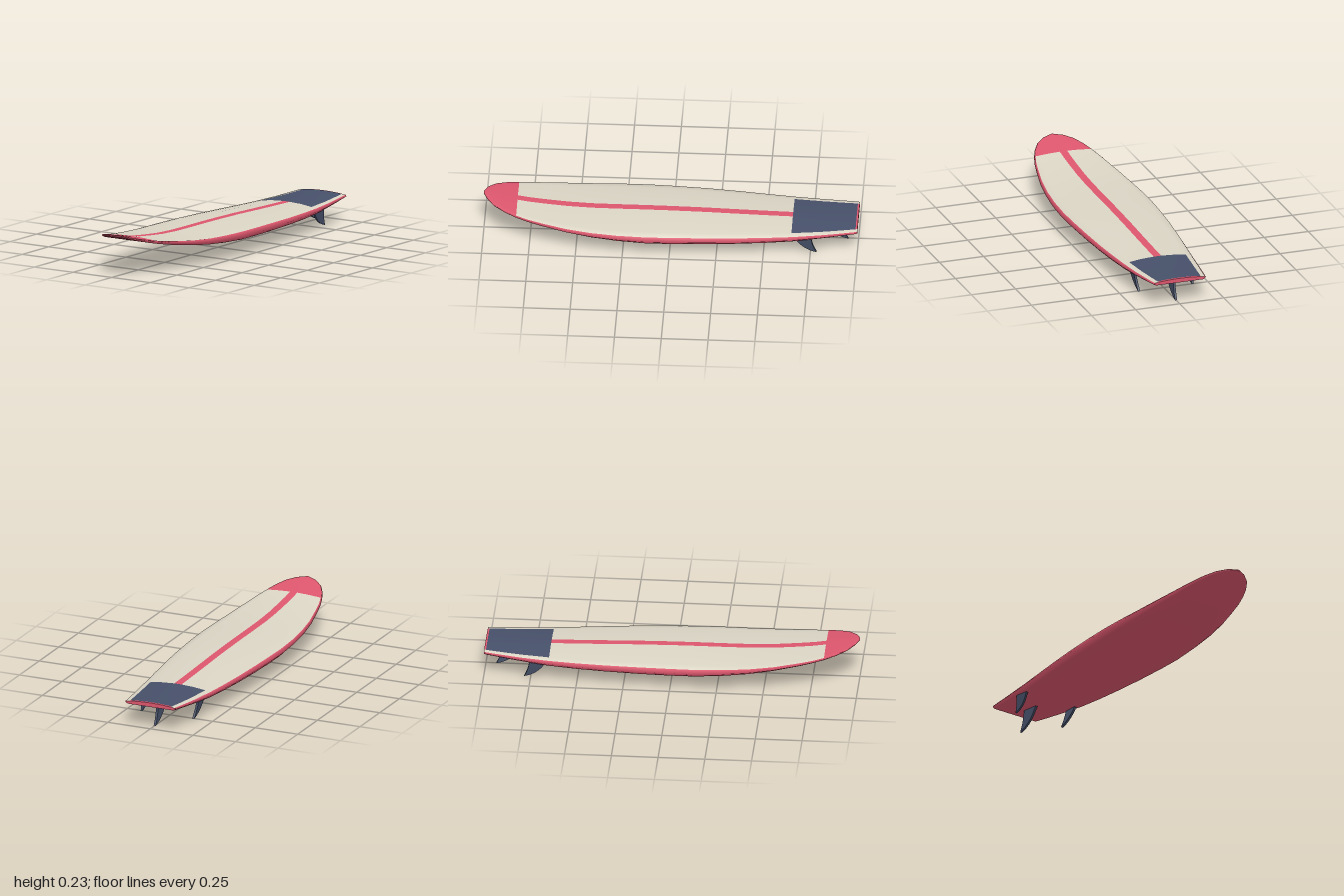
import * as THREE from 'three';

const mat = (name, color) => {
  const m = new THREE.MeshStandardMaterial({ color });
  m.name = name;
  return m;
};

// Hull stations from tail to nose: [z, half width, bottom y, deck y]
const STATIONS = [
  [-1, 0.146, 0.123, 0.146], [-0.99, 0.152, 0.122, 0.147], [-0.9, 0.166, 0.113, 0.144],
  [-0.8, 0.181, 0.104, 0.142], [-0.65, 0.201, 0.092, 0.143], [-0.5, 0.219, 0.088, 0.146],
  [-0.35, 0.235, 0.087, 0.15], [-0.18, 0.249, 0.087, 0.155], [0, 0.259, 0.088, 0.158],
  [0.13, 0.263, 0.09, 0.159], [0.28, 0.259, 0.098, 0.159], [0.42, 0.247, 0.109, 0.16],
  [0.55, 0.23, 0.125, 0.166], [0.68, 0.204, 0.145, 0.178], [0.76, 0.186, 0.16, 0.187],
  [0.82, 0.167, 0.172, 0.197], [0.88, 0.143, 0.187, 0.208], [0.94, 0.106, 0.204, 0.22],
  [0.98, 0.058, 0.217, 0.228], [1, 0.012, 0.223, 0.23],
];

// One closed cross-section, counter-clockwise seen from the nose
function section([z, w, yb, yt]) {
  const t = yt - yb;
  const pts = [-0.91, -0.45, 0, 0.45, 0.91].map((f) => [f * w, yb, z]);
  pts.push([w, yb + 0.35 * t, z]);
  const s = Math.min(0.021, 0.2 * w);
  for (const x of [0.95 * w, 0.8 * w, 0.45 * w, s, 0, -s, -0.45 * w, -0.8 * w, -0.95 * w]) {
    const f = x / (0.95 * w);
    pts.push([x, yb + t * (0.65 + 0.35 * (1 - f * f)), z]);
  }
  pts.push([-w, yb + 0.35 * t, z]);
  return pts;
}

// Material slot of a hull cell: 0 red, 1 cream, 2 navy
function slotFor(j, z) {
  if (j < 6 || j > 13 || z > 0.82) return 0;  // bottom, rails and nose tip
  const k = j - 6;
  const inPad = k > 0 && k < 7;
  if (inPad && z < -0.99) return 0;           // tail edge
  if (inPad && z < -0.65) return 2;           // traction pad
  return k === 3 || k === 4 ? 0 : 1;          // stringer or deck
}

function boardGeometry() {
  const rings = STATIONS.map(section);
  const n = rings[0].length;
  const pos = rings.flat(2);
  const slots = [[], [], []];
  for (let i = 0; i < rings.length - 1; i++) {
    const zMid = (STATIONS[i][0] + STATIONS[i + 1][0]) / 2;
    for (let j = 0; j < n; j++) {
      const a = i * n + j, b = i * n + (j + 1) % n;
      slots[slotFor(j, zMid)].push(a, b, b + n, a, b + n, a + n);
    }
  }
  // End caps with their own vertices, for a crisp edge
  const cap = (ring, flip) => {
    const base = pos.length / 3;
    const [, , z] = ring[0];
    const cy = (ring[2][1] + ring[10][1]) / 2;
    pos.push(...ring.flat(), 0, cy, z);
    for (let j = 0; j < n; j++) {
      const a = base + j, b = base + (j + 1) % n;
      slots[0].push(...(flip ? [b, a] : [a, b]), base + n);
    }
  };
  cap(rings[0], true);
  cap(rings[rings.length - 1], false);

  const g = new THREE.BufferGeometry();
  g.setAttribute('position', new THREE.Float32BufferAttribute(pos, 3));
  g.setIndex(slots.flat());
  let start = 0;
  slots.forEach((list, m) => {
    g.addGroup(start, list.length, m);
    start += list.length;
  });
  g.computeVertexNormals();
  return g;
}

// Swept fin, origin at the front of its base
function finGeometry() {
  const s = new THREE.Shape();
  s.moveTo(0, 0.008);
  s.lineTo(0, 0);
  s.quadraticCurveTo(0.05, -0.095, 0.145, -0.115);
  s.quadraticCurveTo(0.115, -0.06, 0.11, 0.008);
  s.closePath();
  const g = new THREE.ExtrudeGeometry(s, { depth: 0.012, bevelEnabled: false, curveSegments: 8 });
  g.translate(0, 0, -0.006);
  g.rotateY(Math.PI / 2);
  return g;
}

export function createModel() {
  const group = new THREE.Group();
  group.name = 'surfboard';
  const red = mat('red', 0xdc566d);
  const cream = mat('cream', 0xdad4c4);
  const navy = mat('navy', 0x465069);

  const board = new THREE.Mesh(boardGeometry(), [red, cream, navy]);
  board.name = 'board';
  group.add(board);

  // Centre fin and a canted pair ahead of it
  const fin = finGeometry();
  const addFin = (name, x, y, z, scale, side) => {
    const m = new THREE.Mesh(fin, navy);
    m.name = name;
    m.position.set(x, y, z);
    m.scale.set(1, scale, scale);
    m.rotation.set(0, -0.04 * side, -0.16 * side);
    group.add(m);
  };
  addFin('centreFin', 0, 0.115, -0.8, 1, 0);
  addFin('leftFin', 0.161, 0.1, -0.67, 0.78, 1);
  addFin('rightFin', -0.161, 0.1, -0.67, 0.78, -1);
  return group;
}
